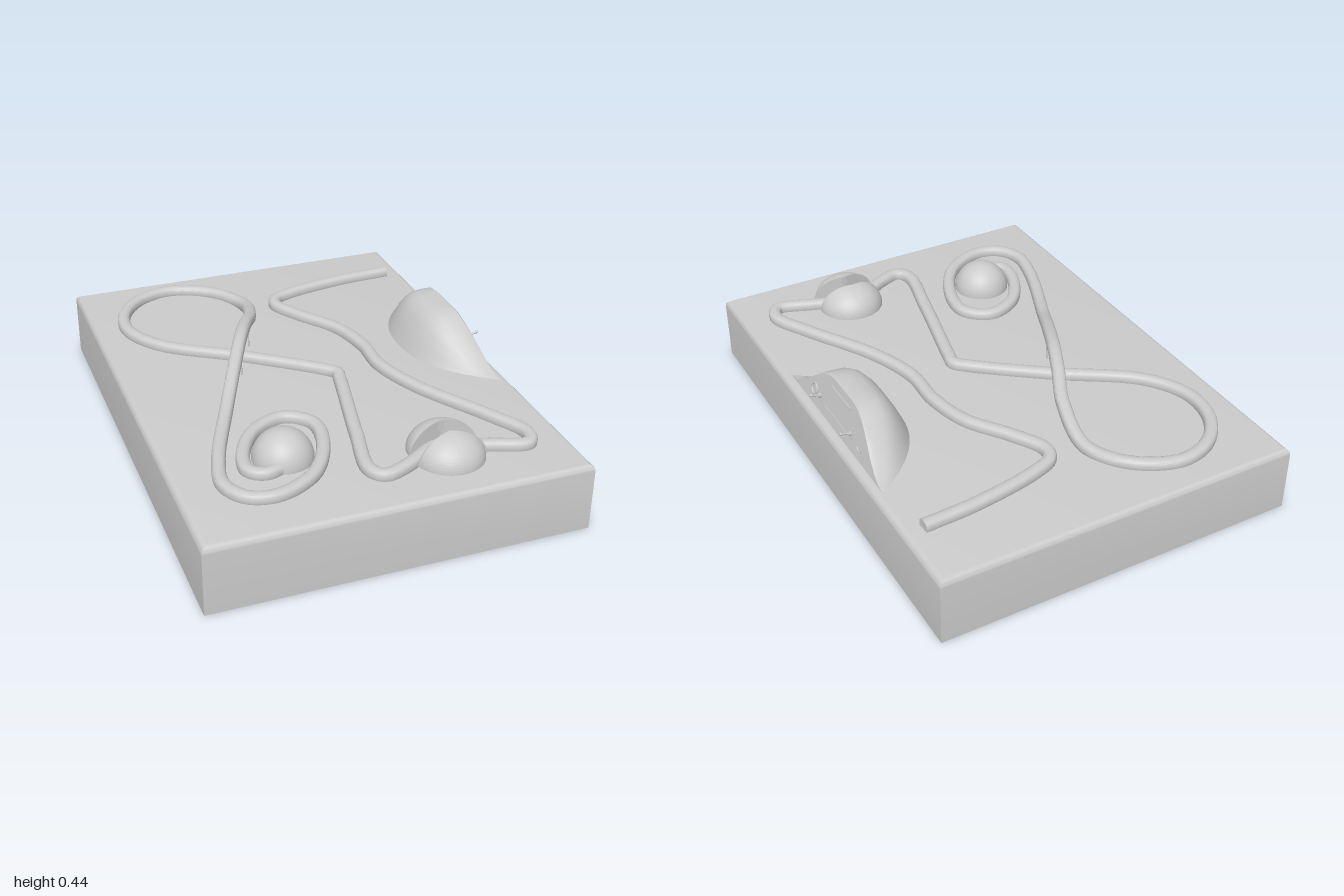
import * as THREE from 'three';
import { toCreasedNormals } from 'three/addons/utils/BufferGeometryUtils.js';

const grey = new THREE.MeshStandardMaterial({ color: 0xcccccc });
const greyDouble = new THREE.MeshStandardMaterial({ color: 0xcccccc, side: THREE.DoubleSide });
const TOP = 0.27;

function add(parent, name, geometry, x = 0, y = 0, z = 0, material = grey) {
  const mesh = new THREE.Mesh(geometry, material);
  mesh.name = name;
  mesh.position.set(x, y, z);
  parent.add(mesh);
  return mesh;
}

// Skin over rows of [x, y, z] points with equal counts
function loft(rows, closed, crease) {
  const n = rows[0].length, index = [];
  for (let i = 0; i < rows.length - 1; i++) {
    for (let j = 0; j < (closed ? n : n - 1); j++) {
      const k = (j + 1) % n;
      const a = i * n + j, b = i * n + k, c = a + n, d = b + n;
      index.push(a, b, c, b, d, c);
    }
  }
  const g = new THREE.BufferGeometry();
  g.setAttribute('position', new THREE.Float32BufferAttribute(rows.flat(2), 3));
  g.setIndex(index);
  return toCreasedNormals(g, crease);
}

// Slab with rounded top edges and sharp upright corners
function slabGeometry() {
  const r = 0.025, profile = [[0, 0], [1, 0]];
  for (let i = 0; i <= 5; i++) {
    const a = (i / 5) * Math.PI / 2;
    profile.push([1 - r + r * Math.cos(a), TOP - r + r * Math.sin(a)]);
  }
  profile.push([0, TOP]);
  const g = new THREE.LatheGeometry(
    profile.map(([x, y]) => new THREE.Vector2(x * Math.SQRT2, y)), 4, Math.PI / 4);
  const p = g.attributes.position;
  for (let i = 0; i < p.count; i++) {
    const x = p.getX(i);
    if (Math.abs(x) > 1e-4) p.setX(i, x - Math.sign(x) * 0.275);
  }
  return toCreasedNormals(g, 0.5);
}

// Centre line of the track: x, z and the rise above the slab
const PATH = [
  [0.65, -0.735], [0.425, -0.72], [0.17, -0.67], [0.085, -0.63], [0.068, -0.575], [0.13, -0.45],
  [0.24, -0.28], [0.283, -0.1], [0.283, 0.08], [0.35, 0.29], [0.515, 0.58], [0.59, 0.74],
  [0.56, 0.805], [0.43, 0.77], [0.29, 0.718], [0.245, 0.702], [0.2, 0.722], [0.08, 0.795],
  [-0.01, 0.82], [-0.045, 0.77], [0, 0.53], [0.092, 0.13], [0.1, 0.08], [0.07, 0.045],
  [-0.2, -0.17], [-0.5, -0.385], [-0.59, -0.555], [-0.57, -0.71], [-0.47, -0.83],
  [-0.325, -0.87], [-0.155, -0.79], [-0.065, -0.635, 0.004], [-0.1, -0.42, 0.055],
  [-0.165, -0.28, 0.092], [-0.225, -0.15, 0.105], [-0.31, 0.03, 0.07], [-0.395, 0.21, 0.018],
  [-0.525, 0.53], [-0.553, 0.69], [-0.5, 0.785], [-0.395, 0.81], [-0.235, 0.725],
  [-0.13, 0.53], [-0.125, 0.4], [-0.21, 0.33], [-0.34, 0.38], [-0.435, 0.53],
  [-0.445, 0.635], [-0.395, 0.67], [-0.33, 0.65],
];

function trackGeometry() {
  const curve = new THREE.CatmullRomCurve3(
    PATH.map(([x, z, rise = 0]) => new THREE.Vector3(x, 0.28 + rise, z)));
  curve.arcLengthDivisions = 1500;
  const steps = 480, sides = 16, rows = [];
  const soft = v => Math.sign(v) * Math.pow(Math.abs(v), 0.75);
  for (let i = 0; i <= steps; i++) {
    const p = curve.getPointAt(i / steps), t = curve.getTangentAt(i / steps);
    const side = new THREE.Vector3(t.z, 0, -t.x).normalize();
    const row = [];
    for (let j = 0; j < sides; j++) {
      const a = (j / sides) * Math.PI * 2;
      const s = 0.026 * soft(Math.cos(a)), u = 0.026 * soft(Math.sin(a));
      row.push([p.x + side.x * s, p.y + u, p.z + side.z * s]);
    }
    const cap = row.map(() => p.toArray());
    if (i === 0) rows.push(cap);
    rows.push(row);
    if (i === steps) rows.push(cap);
  }
  return loft(rows, true, 0.9);
}

// Half of the split dome: vertices past the bent cut are pulled back onto it
function splitDome(front) {
  const g = new THREE.SphereGeometry(0.135, 64, 32, 0, Math.PI * 2, 0, Math.PI / 2);
  g.scale(1, 0.8, 1);
  const p = g.attributes.position;
  for (let i = 0; i < p.count; i++) {
    const bend = 0.25 * Math.abs(p.getX(i)), z = p.getZ(i);
    p.setZ(i, front ? Math.max(z, 0.005 + bend) : Math.min(z, -0.025 + bend));
  }
  return toCreasedNormals(g, 0.6);
}

// Hump with a bell-shaped leaning face and a rounded back
function humpGeometry() {
  const rows = [], n = 20;
  const back = [[0.2, 1], [0.43, 0.97], [0.58, 0.86], [0.71, 0.68], [0.86, 0.34], [1, -0.03]];
  for (let i = 0; i <= n; i++) {
    const u = (i / n) * 2 - 1, a = Math.abs(u);
    const bell = 0.5 + 0.5 * Math.cos(Math.PI * Math.max(0, (a - 0.2) / 0.8));
    const h = 0.175 * bell;
    const xTop = 0.69 - 0.28 * h;
    const depth = xTop - (0.69 - 0.26 * (1 - Math.pow(a, 2.4)));
    const z = -0.083 + 0.417 * u;
    const row = [[0.69, TOP - 0.003, z], [xTop, TOP + h * 0.96, z], [xTop - 0.04 * depth, TOP + h, z]];
    for (const [d, f] of back) row.push([xTop - d * depth, TOP + h * f, z]);
    rows.push(row);
  }
  return loft(rows, false, 0.5);
}

export function createModel() {
  const model = new THREE.Group();
  add(model, 'slab', slabGeometry());
  add(model, 'track', trackGeometry());

  // Paired posts under the raised crossing
  for (const [x, z] of [[-0.265, -0.06], [-0.165, -0.28]]) {
    for (const s of [-1, 1]) {
      add(model, 'bridgePost', new THREE.CylinderGeometry(0.003, 0.003, 0.11, 8),
        x + s * 0.012, TOP + 0.05, z + s * 0.005);
    }
  }

  // Domes
  add(model, 'smallDome',
    new THREE.SphereGeometry(0.114, 48, 24, 0, Math.PI * 2, 0, Math.PI / 2), -0.298, TOP, 0.571);
  add(model, 'splitDomeFront', splitDome(true), 0.262, TOP - 0.002, 0.76);
  add(model, 'splitDomeBack', splitDome(false), 0.262, TOP - 0.002, 0.715);

  // Control hump and the fittings on its leaning face
  add(model, 'controlHump', humpGeometry(), 0, 0, 0, greyDouble);
  const panel = new THREE.Group();
  panel.name = 'controlPanel';
  panel.position.set(0.69, TOP, -0.083);
  panel.rotation.z = Math.atan(0.28);
  model.add(panel);

  add(panel, 'upperBar', new THREE.BoxGeometry(0.012, 0.012, 0.17), 0, 0.14, 0.005);
  add(panel, 'lowerBar', new THREE.BoxGeometry(0.008, 0.006, 0.19), 0, 0.044, 0.005);
  add(panel, 'dialRing', new THREE.TorusGeometry(0.022, 0.004, 8, 32), 0, 0.06, 0.213)
    .rotation.y = Math.PI / 2;
  add(panel, 'smallArc', new THREE.TorusGeometry(0.024, 0.003, 8, 16, 1.9), 0, 0.06, -0.2)
    .rotation.set(0, Math.PI / 2, -Math.PI / 2 - 0.95, 'YXZ');

  // Levers
  for (const z of [0.148, -0.127]) {
    const lever = new THREE.Group();
    lever.name = 'lever';
    lever.position.set(0, 0.062, z);
    panel.add(lever);
    add(lever, 'leverRod', new THREE.CylinderGeometry(0.004, 0.004, 0.05, 10), 0.02, 0.006, 0)
      .rotation.z = -Math.PI / 2;
    add(lever, 'leverCollar', new THREE.CylinderGeometry(0.009, 0.009, 0.012, 16), 0.012, 0.006, 0)
      .rotation.z = -Math.PI / 2;
    add(lever, 'leverTip', new THREE.SphereGeometry(0.006, 12, 8), 0.045, 0.006, 0);
    add(lever, 'leverSlot', new THREE.BoxGeometry(0.006, 0.05, 0.007), 0, 0, 0);
  }
  return model;
}
